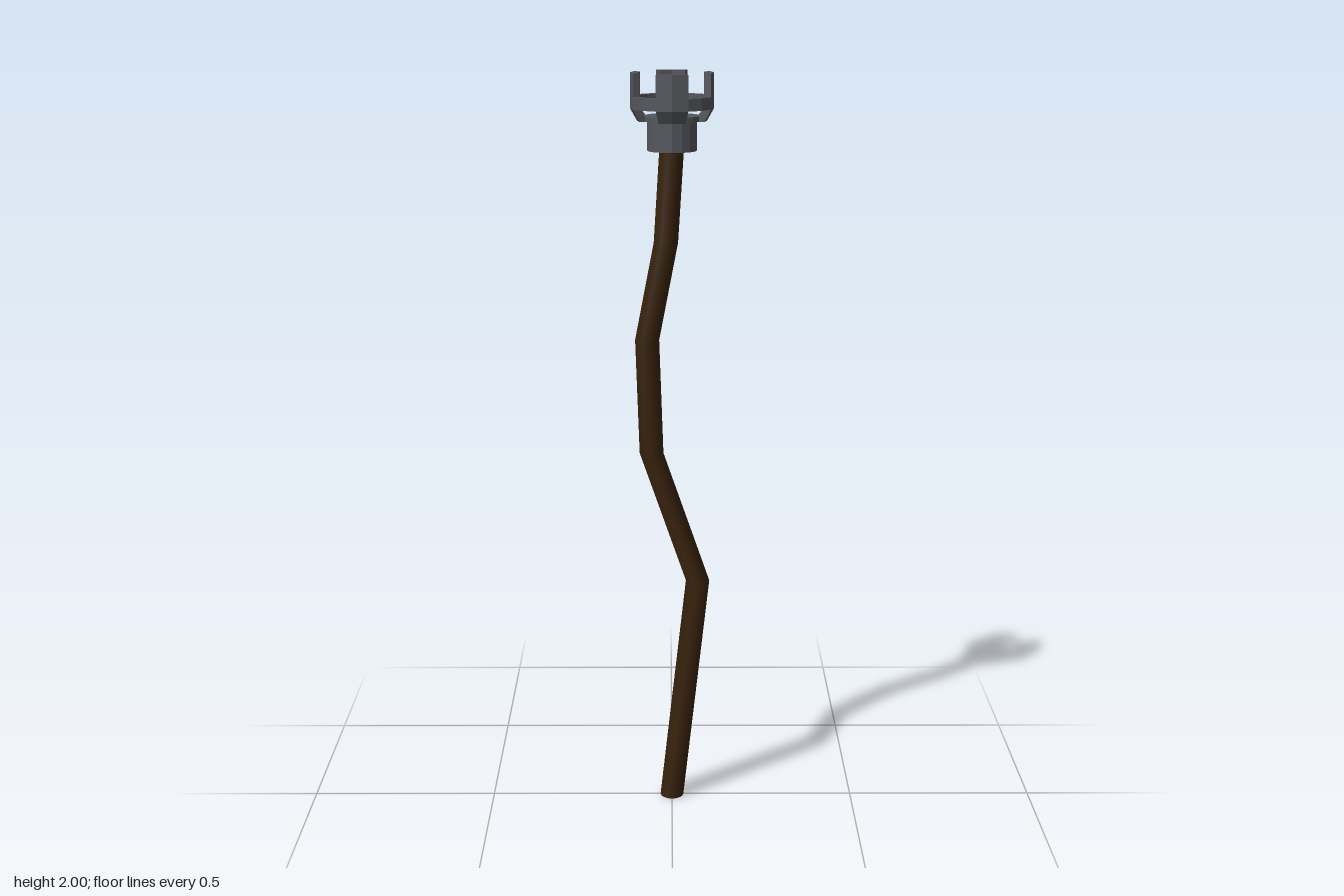
import * as THREE from 'three';
import { mergeGeometries, toCreasedNormals } from 'three/addons/utils/BufferGeometryUtils.js';

const SIDES = 16;
const STEP = Math.PI * 2 / SIDES;

// Flat-faced block: a closed (radius, y) profile swept around y, capped at both ends
function sweptBlock(profile, start, steps) {
  const pts = profile.map(([r, y]) => new THREE.Vector2(r, y));
  const end = start + steps * STEP;
  const parts = [new THREE.LatheGeometry([...pts, pts[0].clone()], steps, start, steps * STEP)];
  if (steps < SIDES) {
    for (const phi of [start, end]) {
      const cap = new THREE.ShapeGeometry(new THREE.Shape(pts));
      if (phi === end) cap.index.array.reverse();
      parts.push(cap.rotateY(phi - Math.PI / 2));
    }
  }
  const geo = mergeGeometries(parts.map((p) => p.toNonIndexed()));
  geo.computeVertexNormals();
  return geo;
}

// Crooked shaft: a cylinder whose rings are moved onto the bends
function shaftGeometry() {
  const bends = [[0, 0], [0.07, 0.63], [-0.055, 0.99], [-0.066, 1.3], [-0.016, 1.56], [0, 1.82]];
  const n = bends.length - 1;
  const geo = new THREE.CylinderGeometry(1, 1, n, SIDES, n);
  const p = geo.attributes.position;
  for (let i = 0; i < p.count; i++) {
    const [x, y] = bends[Math.round(p.getY(i) + n / 2)];
    p.setXYZ(i, x + p.getX(i) * 0.032, y, p.getZ(i) * 0.036);
  }
  return toCreasedNormals(geo, 0.8);
}

export function createModel() {
  const wood = new THREE.MeshStandardMaterial({ color: 0x38220c });
  wood.name = 'darkWood';
  const iron = new THREE.MeshStandardMaterial({ color: 0x53565c });
  iron.name = 'greyIron';

  const model = new THREE.Group();
  model.name = 'staff';
  const add = (name, geo, mat) => {
    const mesh = new THREE.Mesh(geo, mat);
    mesh.name = name;
    model.add(mesh);
  };

  add('shaft', shaftGeometry(), wood);

  // Collar and the round plate on it
  add('collar', sweptBlock([[0, 1.8], [0.065, 1.8], [0.065, 1.878], [0, 1.878]], 0, SIDES), iron);
  add('plate', sweptBlock([[0, 1.876], [0.075, 1.876], [0.075, 1.89], [0, 1.89]], 0, SIDES), iron);

  // Crown ring
  add('crownRing', sweptBlock([[0.09, 1.908], [0.108, 1.908], [0.108, 1.94], [0.09, 1.94]], 0, SIDES), iron);

  // Four supporting arms and upright prongs
  for (let i = 0; i < 4; i++) {
    const start = i * Math.PI / 2 - STEP;
    add('arm', sweptBlock([[0.07, 1.876], [0.09, 1.876], [0.108, 1.908], [0.09, 1.908], [0.075, 1.89], [0.07, 1.89]], start, 2), iron);
    add('prong', sweptBlock([[0.09, 1.94], [0.108, 1.94], [0.108, 2], [0.09, 2]], start, 2), iron);
  }
  return model;
}
